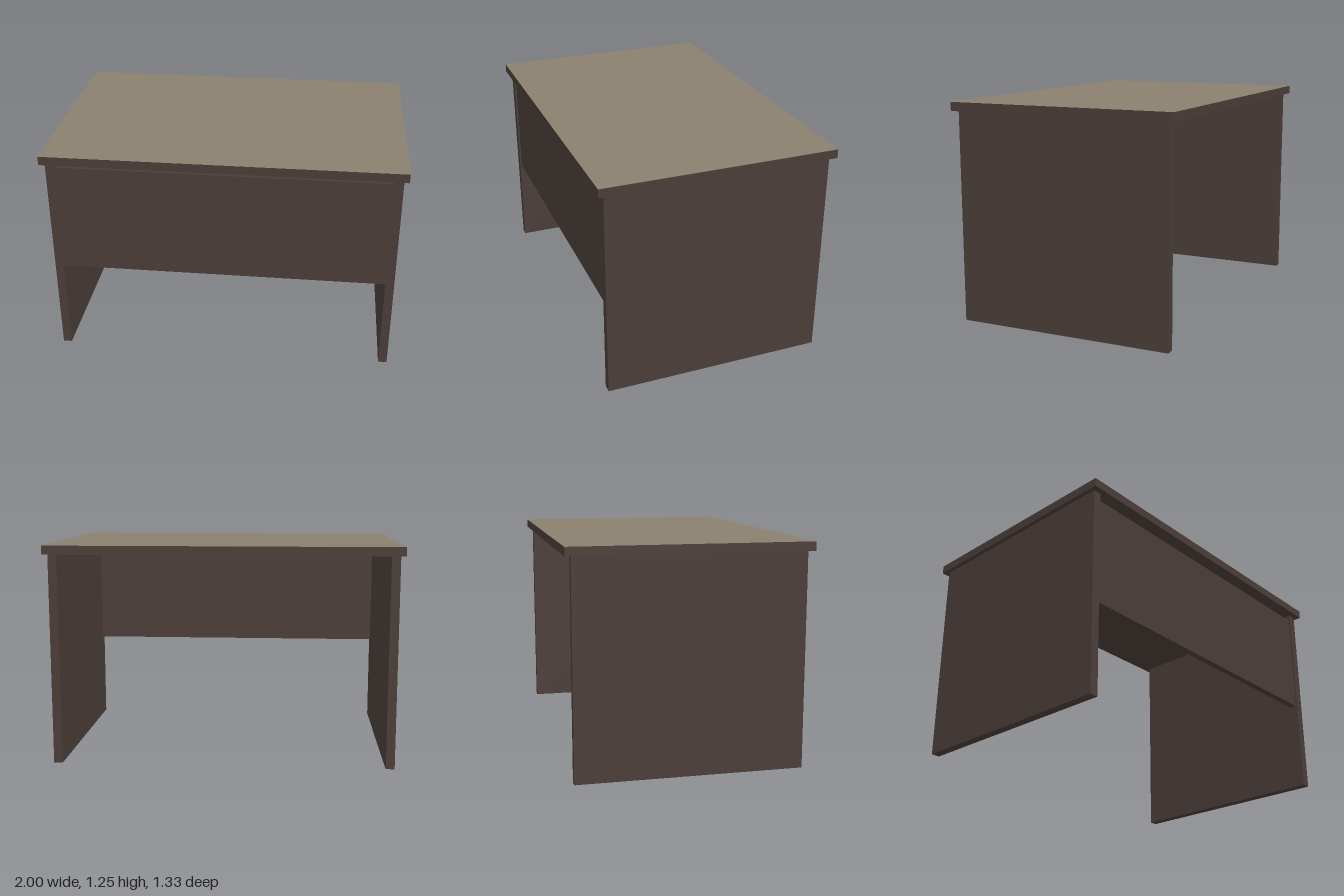
import * as THREE from 'three';

export function createModel() {
  const desk = new THREE.Group();
  desk.name = 'desk';

  const darkWood = new THREE.MeshStandardMaterial({ color: 0x4a3d38 });
  darkWood.name = 'dark wood';
  const topSurface = new THREE.MeshStandardMaterial({ color: 0x8b806e });
  topSurface.name = 'taupe top surface';

  // Adds a board spanning the given x, y and z ranges
  function board(name, [x0, x1], [y0, y1], [z0, z1], material) {
    const geometry = new THREE.BoxGeometry(x1 - x0, y1 - y0, z1 - z0);
    const mesh = new THREE.Mesh(geometry, material);
    mesh.name = name;
    mesh.position.set((x0 + x1) / 2, (y0 + y1) / 2, (z0 + z1) / 2);
    desk.add(mesh);
  }

  // Desktop: dark edges and underside, lighter upper face
  const topMaterials = [darkWood, darkWood, topSurface, darkWood, darkWood, darkWood];
  board('desktop', [-1, 1], [1.203, 1.253], [-0.667, 0.667], topMaterials);

  // Full-depth side panels that carry the desktop
  board('leftSidePanel', [0.925, 0.975], [0, 1.203], [-0.633, 0.633], darkWood);
  board('rightSidePanel', [-0.975, -0.925], [0, 1.203], [-0.633, 0.633], darkWood);

  // Front modesty panel, slightly recessed, with a gap below the desktop
  board('modestyPanel', [-0.925, 0.925], [0.537, 1.17], [0.583, 0.622], darkWood);

  return desk;
}
